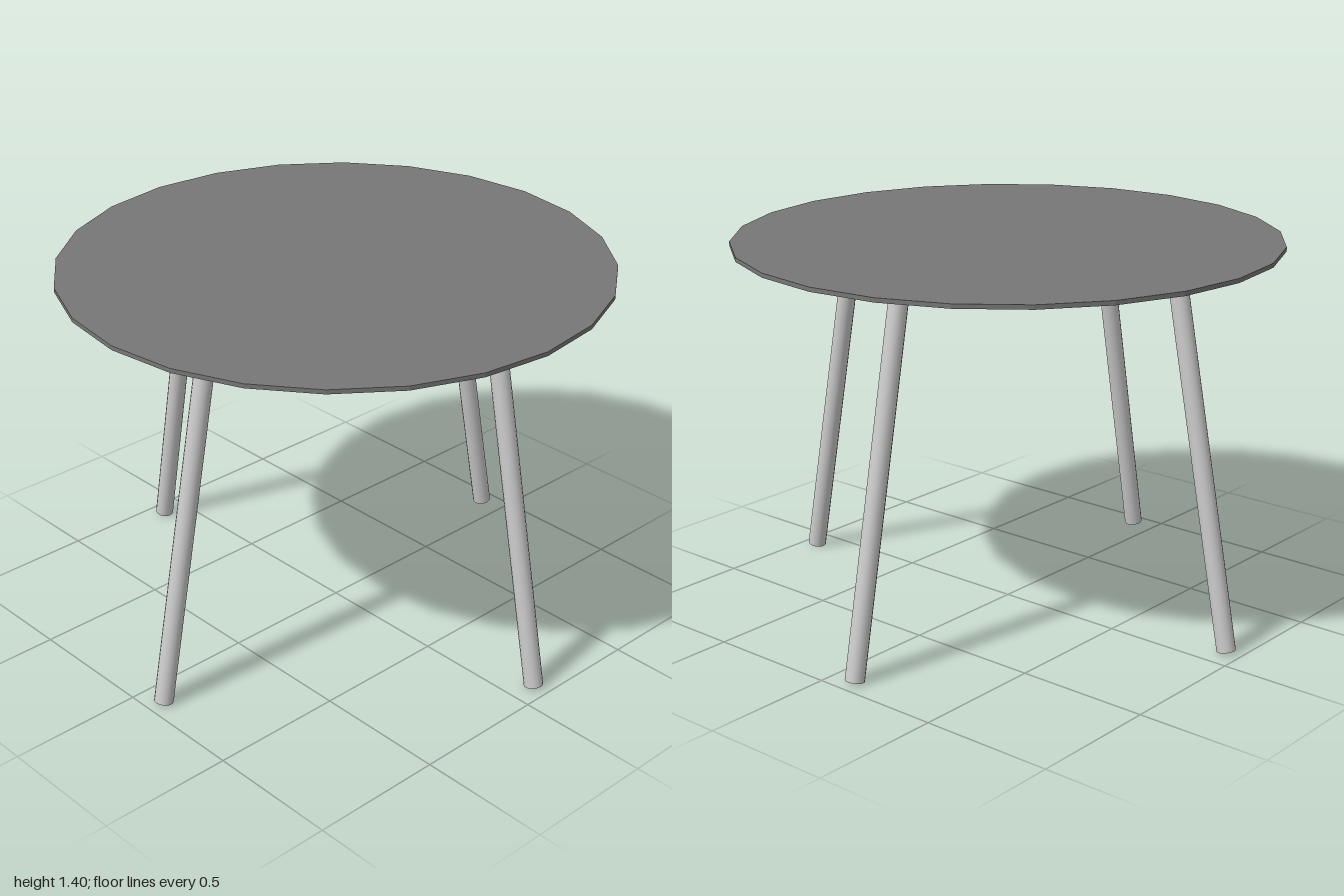
import * as THREE from 'three';

const metal = new THREE.MeshStandardMaterial({ color: 0xcccccc, side: THREE.DoubleSide });
const dark = new THREE.MeshStandardMaterial({ color: 0x777777, flatShading: true });

// Capped rod between two points
function rod(name, from, to, radius) {
  const axis = new THREE.Vector3().subVectors(to, from);
  const mesh = new THREE.Mesh(new THREE.CylinderGeometry(radius, radius, axis.length(), 16), metal);
  mesh.name = name;
  mesh.position.addVectors(from, to).multiplyScalar(0.5);
  mesh.quaternion.setFromUnitVectors(new THREE.Vector3(0, 1, 0), axis.normalize());
  return mesh;
}

export function createModel() {
  const table = new THREE.Group();
  table.name = 'roundTable';

  // Thin 24-sided top
  const top = new THREE.Mesh(new THREE.CylinderGeometry(1, 1, 0.016, 24), dark);
  top.name = 'tableTop';
  top.position.y = 1.392;
  table.add(top);

  // Bent tube under the top, its ends nearly meeting on the left side
  const gap = 0.016;
  const ringGeometry = new THREE.TorusGeometry(0.69, 0.024, 10, 24, Math.PI * 2 - gap);
  ringGeometry.rotateZ(gap / 2).rotateX(-Math.PI / 2);
  const ring = new THREE.Mesh(ringGeometry, metal);
  ring.name = 'supportRing';
  ring.position.y = 1.366;
  table.add(ring);

  // Four splayed legs, each offset sideways from its axis in pinwheel order
  ['frontLeg', 'leftLeg', 'backLeg', 'rightLeg'].forEach((name, i) => {
    const pivot = new THREE.Group();
    pivot.name = name;
    pivot.rotation.y = (i * Math.PI) / 2;
    pivot.add(rod(name + 'Tube', new THREE.Vector3(0.1, 0.007, 0.937), new THREE.Vector3(0.1, 1.353, 0.677), 0.035));
    table.add(pivot);
  });

  return table;
}
